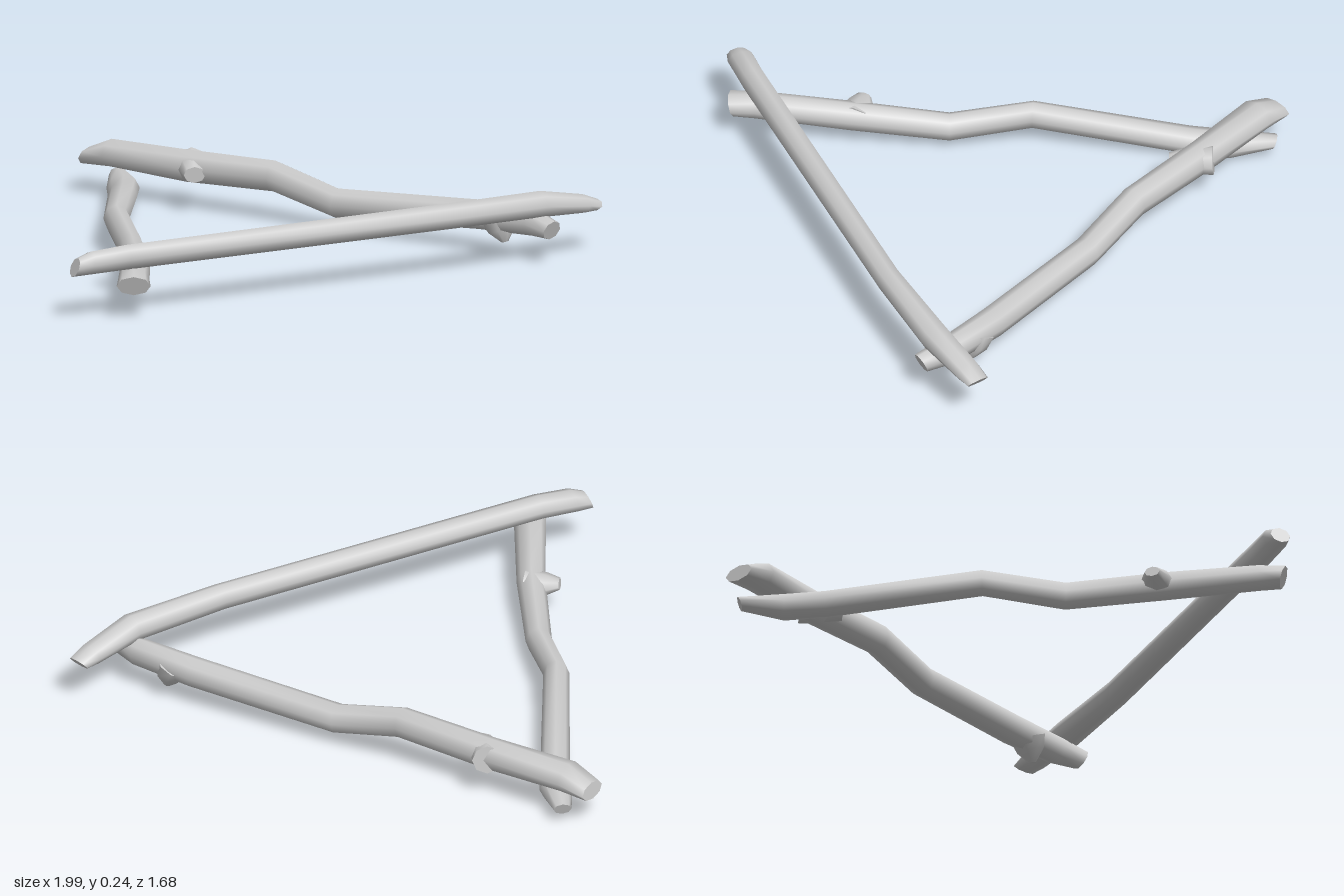
import * as THREE from 'three';

const SIDES = 8;

// Lofts a log through rings [x, y, z, halfWidth, halfHeight, slant];
// slant pushes the top of a ring along the log, for chopped ends.
function loft(rings) {
  const pos = [], index = [];
  const centres = rings.map(r => new THREE.Vector3(r[0], r[1], r[2]));
  const loops = rings.map(([, , , w, h, slant = 0], i) => {
    const a = centres[Math.max(i - 1, 0)], b = centres[Math.min(i + 1, rings.length - 1)];
    const t = b.clone().sub(a).normalize();
    const ref = Math.abs(t.y) > 0.8 ? new THREE.Vector3(1, 0, 0) : new THREE.Vector3(0, 1, 0);
    const side = t.clone().cross(ref).normalize();
    const up = side.clone().cross(t);
    return Array.from({ length: SIDES }, (_, j) => {
      const q = j / SIDES * Math.PI * 2;
      return centres[i].clone()
        .addScaledVector(side, Math.cos(q) * w)
        .addScaledVector(up, Math.sin(q) * h)
        .addScaledVector(t, Math.sin(q) * slant);
    });
  });
  loops.forEach(l => l.forEach(p => pos.push(p.x, p.y, p.z)));
  for (let i = 0; i < loops.length - 1; i++) {
    for (let j = 0; j < SIDES; j++) {
      const a = i * SIDES + j, b = i * SIDES + (j + 1) % SIDES;
      index.push(a, a + SIDES, b, b, a + SIDES, b + SIDES);
    }
  }
  // Caps have their own vertices so their rim stays sharp
  for (const end of [0, loops.length - 1]) {
    const base = pos.length / 3;
    loops[end].forEach(p => pos.push(p.x, p.y, p.z));
    for (let j = 1; j < SIDES - 1; j++) {
      if (end === 0) index.push(base, base + j, base + j + 1);
      else index.push(base, base + j + 1, base + j);
    }
  }
  const g = new THREE.BufferGeometry();
  g.setAttribute('position', new THREE.Float32BufferAttribute(pos, 3));
  g.setIndex(index);
  g.computeVertexNormals();
  return g;
}

export function createModel() {
  const model = new THREE.Group();
  model.name = 'stickTriangle';
  const wood = new THREE.MeshStandardMaterial({ color: 0xcccccc });
  wood.name = 'paleGreyWood';

  const parts = {
    // Top stick, lying across the front
    frontStick: [
      [-0.98, 0.178, 0.718, 0.034, 0.028, 0.018],
      [-0.93, 0.188, 0.724, 0.046, 0.038, 0.015],
      [-0.8, 0.195, 0.737, 0.045, 0.042],
      [0.4, 0.198, 0.778, 0.044, 0.044],
      [0.75, 0.194, 0.765, 0.052, 0.045],
      [0.93, 0.166, 0.727, 0.047, 0.032],
      [0.985, 0.154, 0.715, 0.041, 0.02, 0.01],
    ],
    // Right stick, running from the front right corner to the back
    rightStick: [
      [0.765, 0.115, 0.822, 0.034, 0.034, -0.01],
      [0.75, 0.125, 0.72, 0.046, 0.048],
      [0.657, 0.119, 0.52, 0.053, 0.05],
      [0.385, 0.09, 0.06, 0.049, 0.051],
      [0.27, 0.15, -0.16, 0.05, 0.053],
      [0.113, 0.138, -0.47, 0.054, 0.055],
      [-0.02, 0.142, -0.73, 0.066, 0.047],
      [-0.06, 0.12, -0.82, 0.056, 0.027, -0.01],
    ],
    rightStickLowerKnot: [
      [0.69, 0.12, 0.59, 0.06, 0.06],
      [0.7, 0.08, 0.605, 0.045, 0.05],
      [0.705, 0.04, 0.615, 0.012, 0.012],
    ],
    rightStickInnerKnot: [
      [0.15, 0.14, -0.5, 0.05, 0.05],
      [0.11, 0.135, -0.42, 0.048, 0.042],
      [0.088, 0.13, -0.37, 0.036, 0.028],
    ],
    // Left stick, lowest at the back corner
    leftStick: [
      [-0.81, 0.114, 0.81, 0.056, 0.034, -0.012],
      [-0.77, 0.115, 0.74, 0.052, 0.042],
      [-0.61, 0.098, 0.47, 0.048, 0.05],
      [-0.463, 0.066, 0.18, 0.044, 0.049],
      [-0.372, 0.1, -0.08, 0.043, 0.047],
      [-0.1, 0.05, -0.52, 0.049, 0.045],
      [-0.03, 0.044, -0.64, 0.055, 0.043],
      [0.027, 0.053, -0.775, 0.03, 0.022, 0.01],
    ],
    leftStickKnot: [
      [-0.59, 0.1, 0.47, 0.06, 0.045],
      [-0.64, 0.105, 0.425, 0.05, 0.035],
      [-0.675, 0.11, 0.395, 0.026, 0.018],
    ],
  };

  for (const [name, rings] of Object.entries(parts)) {
    const mesh = new THREE.Mesh(loft(rings), wood);
    mesh.name = name;
    model.add(mesh);
  }
  return model;
}
